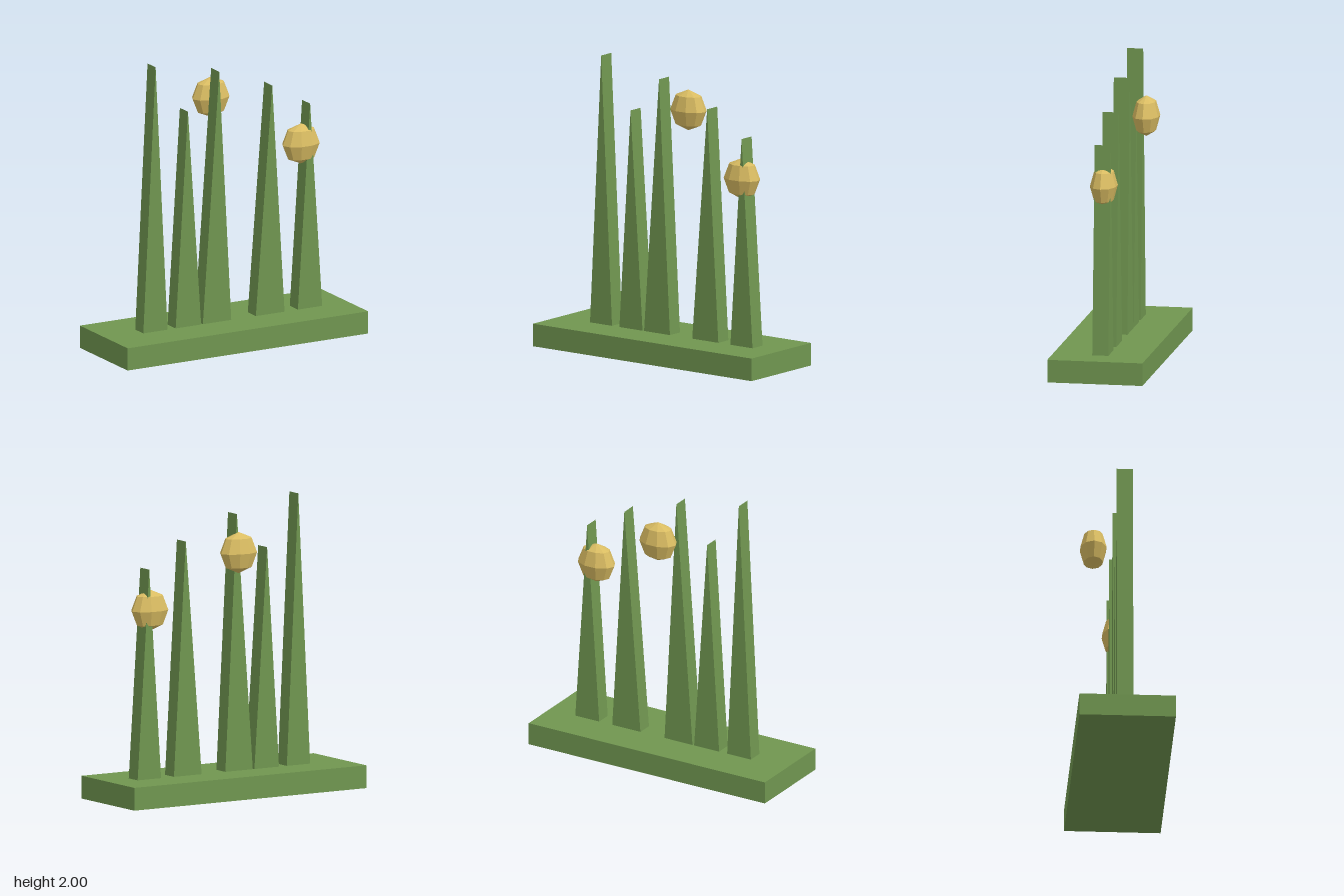
import * as THREE from 'three';

const green = new THREE.MeshStandardMaterial({ color: 0x709650, flatShading: true });
const gold = new THREE.MeshStandardMaterial({ color: 0xd9bc62, flatShading: true });

const BASE_TOP = 0.155;
const BLADE_DEPTH = 0.11;

// Triangular blade standing on the base, extruded along z
function makeBlade(left, right, tipX, tipY) {
  const shape = new THREE.Shape([
    new THREE.Vector2(left, BASE_TOP),
    new THREE.Vector2(right, BASE_TOP),
    new THREE.Vector2(tipX, tipY),
  ]);
  const geometry = new THREE.ExtrudeGeometry(shape, { depth: BLADE_DEPTH, bevelEnabled: false });
  geometry.translate(0, 0, -BLADE_DEPTH / 2);
  return new THREE.Mesh(geometry, green);
}

// Faceted bulb, flattened front to back
function makeBulb(x, y, z) {
  const bulb = new THREE.Mesh(new THREE.SphereGeometry(0.14, 10, 4), gold);
  bulb.scale.z = 0.66;
  bulb.position.set(x, y, z);
  return bulb;
}

export function createModel() {
  const model = new THREE.Group();
  model.name = 'grassWithBulbs';

  // Ground slab
  const base = new THREE.Mesh(new THREE.BoxGeometry(1.86, BASE_TOP, 0.65), green);
  base.position.y = BASE_TOP / 2;
  base.name = 'base';
  model.add(base);

  // Grass blades: left foot, right foot, tip x, tip height
  [
    [-0.655, -0.468, -0.56, 2.0],
    [-0.405, -0.208, -0.31, 1.655],
    [-0.195, 0.025, -0.068, 1.9],
    [0.215, 0.437, 0.342, 1.747],
    [0.54, 0.728, 0.635, 1.58],
  ].forEach((blade, i) => {
    const mesh = makeBlade(...blade);
    mesh.name = `blade${i + 1}`;
    model.add(mesh);
  });

  // Floating bulbs
  [[0, 1.66, -0.18], [0.595, 1.295, 0]].forEach((p, i) => {
    const bulb = makeBulb(...p);
    bulb.name = `bulb${i + 1}`;
    model.add(bulb);
  });

  return model;
}
